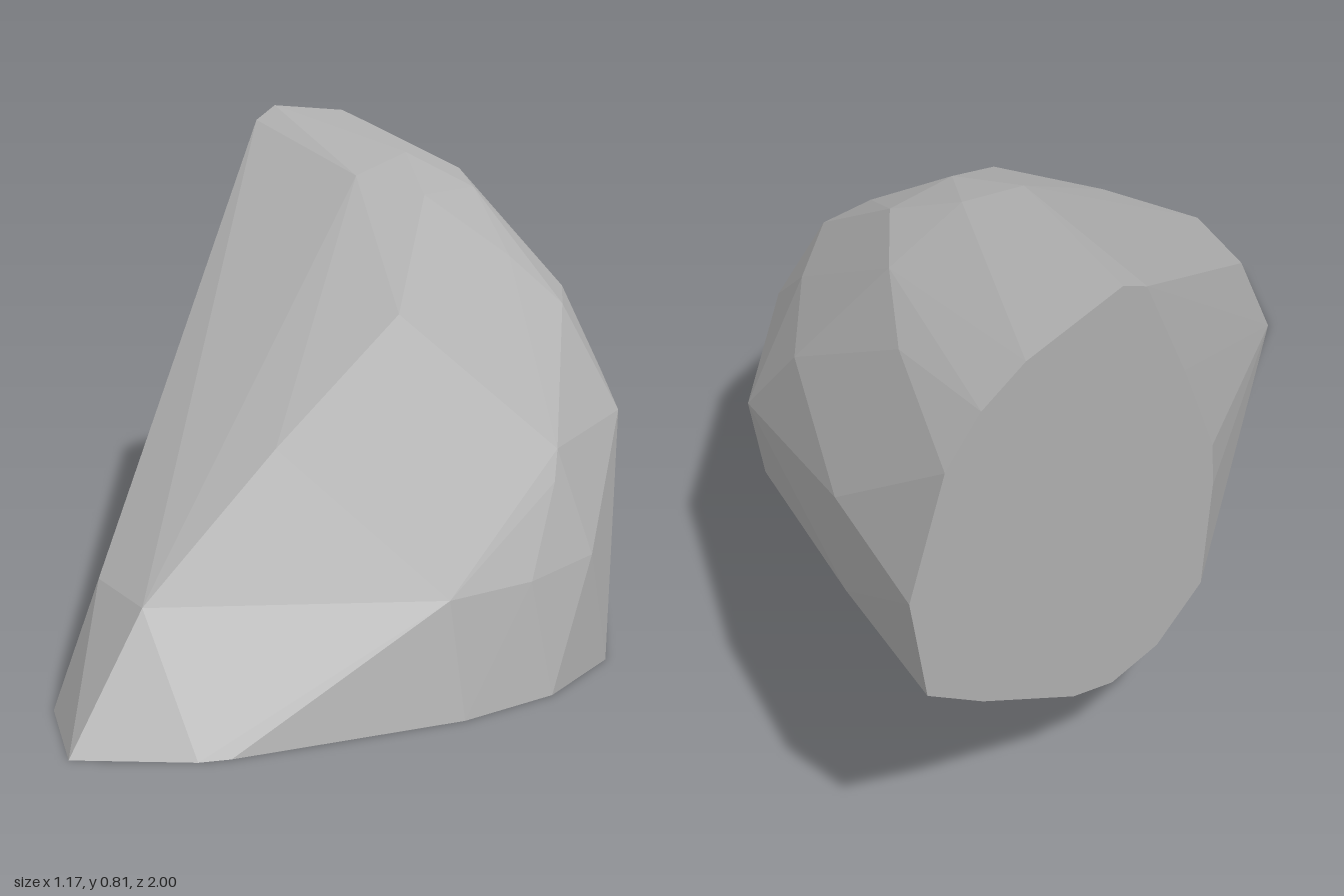
import * as THREE from 'three';
import { ConvexGeometry } from 'three/addons/geometries/ConvexGeometry.js';

// Faceted rounded body, sliced flat along its base and along its right side.
export function createModel() {
  const stone = new THREE.MeshStandardMaterial({ color: 0xb0b0b0 });
  stone.name = 'stone grey';

  // Outline of the flat base on y = 0, as [x, z]
  const base = [
    [0.18, 1], [0.34, 0.9], [0.37, 0.86], [0.545, 0.51], [0.583, 0.32], [0.55, 0.1],
    [0.39, -0.16], [0.22, -0.23], [0.08, -0.23], [-0.02, -0.15], [-0.13, 0.1],
    [-0.145, 0.33], [0, 0.83],
  ];

  // Outline of the flat side cut on x = -0.585, as [y, z]
  const sideCut = [
    [0.81, -0.51], [0.785, -0.74], [0.75, -0.84], [0.69, -0.92], [0.52, -1],
    [0.35, -0.965], [0.27, -0.84], [0.155, -0.62], [0.125, -0.52], [0.13, -0.4],
    [0.185, -0.28], [0.355, -0.255], [0.43, -0.26], [0.6, -0.345], [0.785, -0.45],
  ];

  // Rounded shell between the two cuts, as [x, y, z], grouped by region
  const front = [
    [0.18, 0.19, 0.83], [0, 0.185, 0.72], [0.18, 0.375, 0.5],
    [0.34, 0.185, 0.66], [0.34, 0.365, 0.33], [0.18, 0.545, 0.16],
  ];
  const outerSide = [
    [0.51, 0.18, 0.5], [0.55, 0.18, 0.33], [0.557, 0.19, 0.16], [0.51, 0.31, 0.2],
    [0.49, 0.355, 0.16], [0.405, 0.355, -0.18], [0.41, 0.2, -0.15],
  ];
  const crown = [
    [-0.15, 0.755, -0.34], [-0.15, 0.725, -0.18], [0, 0.7, -0.18], [0, 0.7, -0.34],
    [0.18, 0.605, -0.18], [0.29, 0.53, -0.18], [0.18, 0.53, -0.36],
    [-0.15, 0.71, -0.52], [-0.32, 0.7, -0.7],
  ];
  const back = [
    [0.175, 0.355, -0.51], [0.2, 0.185, -0.45], [0, 0.53, -0.58],
    [-0.32, 0.52, -0.85], [-0.3, 0.33, -0.81],
  ];

  const points = [
    ...base.map(([x, z]) => new THREE.Vector3(x, 0, z)),
    ...sideCut.map(([y, z]) => new THREE.Vector3(-0.585, y, z)),
    ...[...front, ...outerSide, ...crown, ...back].map((p) => new THREE.Vector3(...p)),
  ];

  const body = new THREE.Mesh(new ConvexGeometry(points), stone);
  body.name = 'facetedBody';

  const model = new THREE.Group();
  model.name = 'slicedBoulder';
  model.add(body);
  return model;
}
